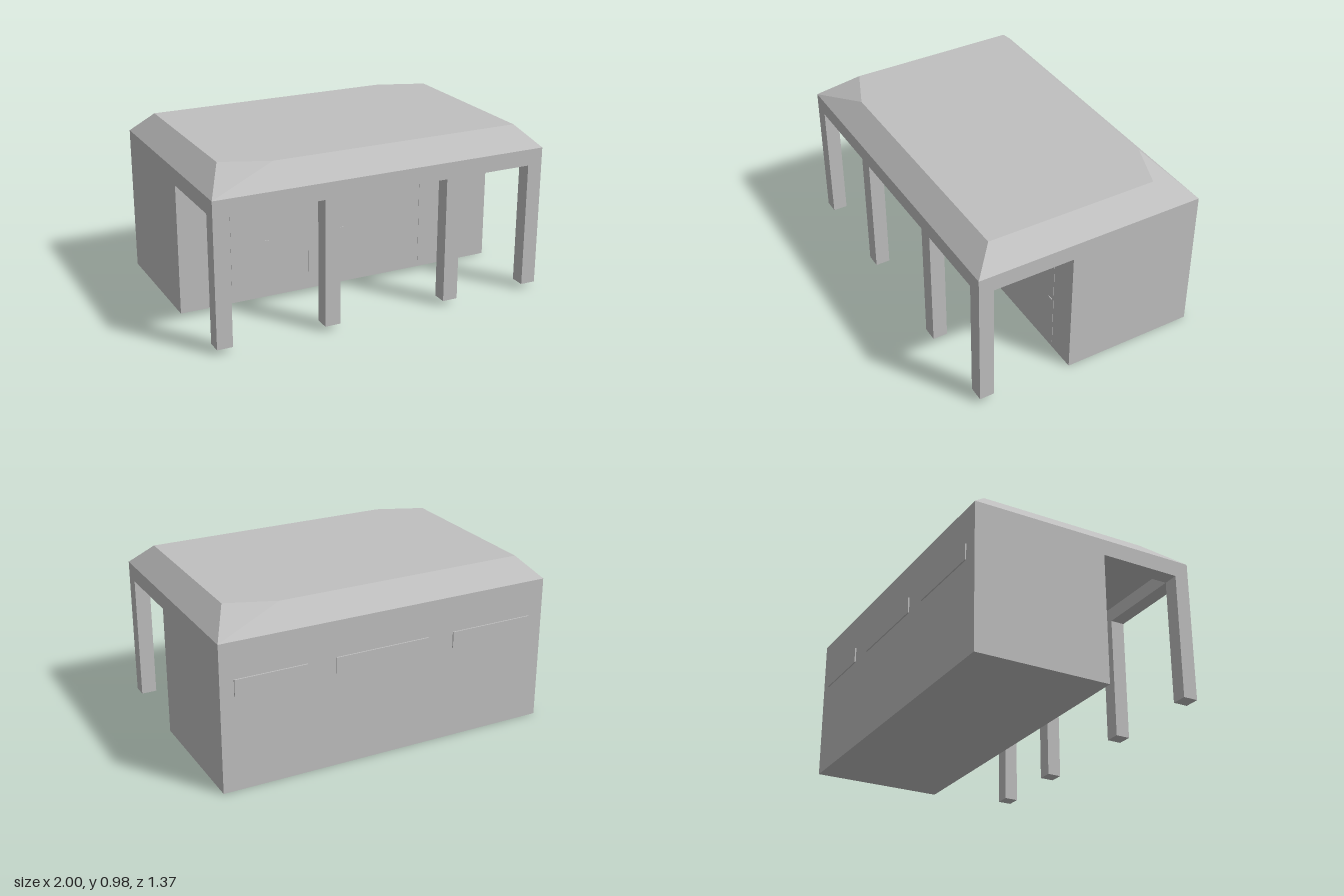
import * as THREE from 'three';

export function createModel() {
  const model = new THREE.Group();
  model.name = 'pavilion';
  const grey = new THREE.MeshStandardMaterial({ color: 0xc0c0c0 });
  grey.name = 'plain grey';

  // Box given by its limits on each axis
  function box(name, [x0, x1], [y0, y1], [z0, z1], parent = model) {
    const mesh = new THREE.Mesh(new THREE.BoxGeometry(x1 - x0, y1 - y0, z1 - z0), grey);
    mesh.position.set((x0 + x1) / 2, (y0 + y1) / 2, (z0 + z1) / 2);
    mesh.name = name;
    parent.add(mesh);
    return mesh;
  }

  const eaves = 0.86, beamY = 0.765, back = -0.675, wall = 0.12;
  const front = 0.683, inner = 0.597, post = 0.09;

  // Enclosed rooms at the back
  box('rooms', [-1, 1], [0, eaves], [back, wall]);

  // Porch: beams, ceiling and four posts
  box('frontBeam', [-1, 1], [beamY, eaves], [inner, front]);
  for (const x of [-1, 1 - post]) box('sideBeam', [x, x + post], [beamY, eaves], [wall, inner]);
  box('porchCeiling', [-1 + post, 1 - post], [eaves - 0.01, eaves], [wall, inner]);
  for (const x of [-1, -0.37, 0.375, 1 - post])
    box('post', [x, x + post], [0.03, beamY], [inner, front]);

  // Doors with lever handles
  for (const [x0, x1] of [[-0.69, -0.44], [-0.205, 0.042], [0.53, 0.825]]) {
    const door = new THREE.Group();
    door.name = 'door';
    box('doorPanel', [x0, x1], [0.04, 0.63], [wall, wall + 0.002], door);
    box('doorHandle', [x1 - 0.047, x1 - 0.012], [0.342, 0.35], [wall + 0.002, wall + 0.006], door);
    model.add(door);
  }

  // Long high windows on the back wall
  for (const [x0, x1] of [[-0.91, -0.4], [-0.24, 0.33], [0.5, 0.92]])
    box('backWindow', [x0, x1], [0.555, 0.65], [back - 0.008, back]);

  // Hipped roof with a flat top; two opposite corners are cut by an extra facet
  const top = 0.98;
  const base = [[-1, front], [1, front], [1, back], [-1, back]].map(([x, z]) => [x, eaves, z]);
  const rim = [[-0.88, 0.45], [-0.61, 0.56], [0.88, 0.56], [0.88, -0.45], [0.6, -0.556], [-0.88, -0.556]]
    .map(([x, z]) => [x, top, z]);
  const [a, b, c, d] = base;
  const [p, q, r, s, t, u] = rim;
  const faces = [
    rim,
    [a, b, r, q], [b, c, s, r], [c, d, u, t], [d, a, p, u],
    [a, q, p], [c, t, s],
  ];
  const points = [];
  for (const f of faces)
    for (let i = 1; i < f.length - 1; i++) points.push(...f[0], ...f[i], ...f[i + 1]);
  const roofGeometry = new THREE.BufferGeometry();
  roofGeometry.setAttribute('position', new THREE.Float32BufferAttribute(points, 3));
  roofGeometry.computeVertexNormals();
  const roof = new THREE.Mesh(roofGeometry, grey);
  roof.name = 'roof';
  model.add(roof);

  return model;
}
